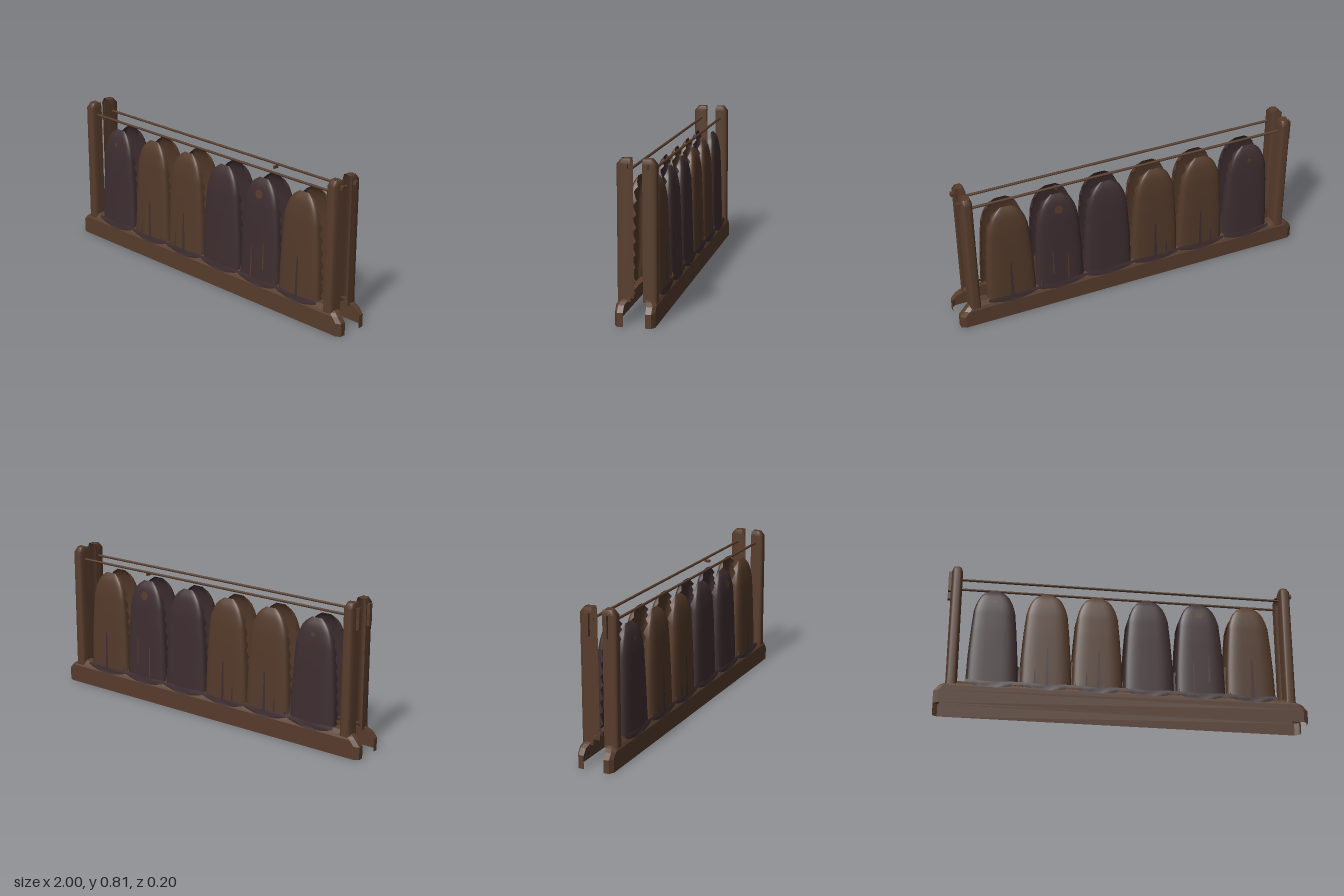
import * as THREE from 'three';

const mat = (name, color) => {
  const m = new THREE.MeshStandardMaterial({ color, side: THREE.DoubleSide });
  m.name = name;
  return m;
};

// Open surface: fn(u, v) gives a point, u runs to +x and v runs upwards
function sheet(nu, nv, fn) {
  const pos = [], idx = [];
  for (let j = 0; j <= nv; j++)
    for (let i = 0; i <= nu; i++) pos.push(...fn(i / nu, j / nv, i, j));
  for (let j = 0; j < nv; j++)
    for (let i = 0; i < nu; i++) {
      const a = j * (nu + 1) + i, b = a + 1, c = a + nu + 1, d = c + 1;
      idx.push(a, b, d, a, d, c);
    }
  const g = new THREE.BufferGeometry();
  g.setAttribute('position', new THREE.Float32BufferAttribute(pos, 3));
  g.setIndex(idx);
  g.computeVertexNormals();
  return g;
}

// Linear lookup in a list of [key, value...] rows
function lookup(rows, t, col) {
  for (let i = 1; i < rows.length; i++)
    if (t <= rows[i][0]) {
      const a = rows[i - 1], b = rows[i];
      return THREE.MathUtils.lerp(a[col], b[col], (t - a[0]) / (b[0] - a[0]));
    }
  return rows[rows.length - 1][col];
}

// Coat outline: height, half width, front z
const COAT = [
  [0.12, 0.138, 0.094], [0.3, 0.132, 0.09], [0.45, 0.122, 0.087], [0.56, 0.112, 0.083],
  [0.61, 0.098, 0.077], [0.65, 0.078, 0.069], [0.675, 0.055, 0.058], [0.69, 0.03, 0.045],
];
const coatFront = y => lookup(COAT, y, 2);
const bend = t => Math.sign(t) * Math.sqrt(Math.abs(t));

export function createModel() {
  const brown = mat('brown wood', 0x573c2c);
  const tan = mat('brown cloth', 0x533a2a);
  const dark = mat('dark cloth', 0x3e2e30);

  const model = new THREE.Group();
  const half = new THREE.Group();
  half.name = 'frontHalf';
  const add = (parent, name, geo, m) => {
    const mesh = new THREE.Mesh(geo, m);
    mesh.name = name;
    parent.add(mesh);
    return mesh;
  };

  // Base: a plan path raised through a profile that slopes inwards
  const plan = [[-1, 0.055], [-1, 0.085], [-0.975, 0.1], [0.975, 0.1], [1, 0.085], [1, 0.055]];
  const profile = [[0, 0, 0], [0.07, 0, 0], [0.1, 0.025, 0], [0.115, 0.045, 0.008], [0.135, 0.08, 0.025], [0.14, 0.08, 0.06]];
  const baseGeo = sheet(5, 5, (u, v, i, j) => {
    const [px, pz] = plan[i], [y, dx, dz] = profile[j];
    return [px - Math.sign(px) * dx, y, Math.max(pz - dz, 0.04)];
  }).toNonIndexed();
  baseGeo.computeVertexNormals();
  add(half, 'base', baseGeo, brown);

  // Posts: open-backed columns with a chamfered head
  for (const s of [-1, 1]) {
    const rows = [[0.11, 0.033, 0.1], [0.14, 0.031, 0.1], [0.785, 0.03, 0.1], [0.812, 0.022, 0.078]];
    const post = add(half, s < 0 ? 'rightPost' : 'leftPost', sheet(16, 3, (u, v, i, j) => {
      const [y, w, front] = rows[j], a = Math.PI * (1 - u);
      return [w * bend(Math.cos(a)), y, 0.03 + (front - 0.03) * bend(Math.sin(a))];
    }), brown);
    post.position.x = s * 0.91;
    const cap = add(half, 'postCap', new THREE.CircleGeometry(0.022, 12), brown);
    cap.scale.y = 1.1;
    cap.rotation.x = -Math.PI / 2;
    cap.position.set(s * 0.91, 0.811, 0.055);
    // Bracket on the outside of the post
    const h = s < 0 ? 0.115 : 0.02;
    add(half, 'postBracket', new THREE.BoxGeometry(0.02, h, 0.022), brown)
      .position.set(s * 0.946, 0.787 - h / 2, 0.05);
  }

  // Hanging rail
  const rail = add(half, 'rail', new THREE.CylinderGeometry(0.007, 0.007, 1.78, 8), brown);
  rail.rotation.z = Math.PI / 2;
  rail.position.set(0, 0.742, 0.056);

  // Narrow cloth strip lying on the front of a coat
  const strip = (x, y0, y1, w) => sheet(1, 5, (u, v) => {
    const y = y0 + (y1 - y0) * v;
    return [x + (u - 0.5) * w * (1 - 0.5 * v), y, coatFront(y) + 0.002];
  });

  // Coats: rounded shells with notched back edges
  const xs = [-0.7, -0.415, -0.14, 0.138, 0.42, 0.697];
  const isDark = [true, false, false, true, true, false];
  xs.forEach((x, k) => {
    const coat = new THREE.Group();
    coat.name = 'coat' + (k + 1);
    coat.position.x = x;
    half.add(coat);
    const m = isDark[k] ? dark : tan;
    const rows = 26;
    add(coat, 'coatBody', sheet(24, rows, (u, v, i, j) => {
      const y = 0.12 + 0.57 * v, a = Math.PI * (1 - u);
      const w = lookup(COAT, y, 1), f = coatFront(y);
      const edge = i === 0 || i === 24;
      const back = 0.042 + (edge ? (j % 3 - 1) * 0.009 : 0);
      return [w * bend(Math.cos(a)), y, Math.min(back, f) + Math.max(f - back, 0) * bend(Math.sin(a))];
    }), m);

    // Dark scalloped hem lying on the sloping top of the base
    add(coat, 'hem', sheet(12, 3, (u, v) => {
      const t = 2 * u - 1;
      const y0 = 0.1 + 0.028 * t * t, y = y0 + (0.142 - y0) * v;
      return [t * 0.142, y, y < 0.115 ? 0.1 - (y - 0.1) * 0.4 : 0.097 - 0.3 * Math.max(0, y - 0.125)];
    }), dark);

    // Openings, streaks and collar marks
    if (k === 1 || k === 2 || k === 5) add(coat, 'opening', strip(0.005, 0.13, 0.35, 0.018), dark);
    if (k === 1 || k === 2) add(coat, 'sideFold', strip(-0.06, 0.14, 0.22, 0.01), dark);
    if (k === 4) {
      add(coat, 'streak', strip(-0.04, 0.14, 0.32, 0.01), tan);
      add(coat, 'streak', strip(0.045, 0.2, 0.36, 0.01), tan);
    }
    if (k === 0 || k === 4) {
      const mark = add(coat, 'collarMark', new THREE.CircleGeometry(k ? 0.024 : 0.012, 10), tan);
      mark.position.set(0, 0.61, coatFront(0.61) + 0.004);
      mark.rotation.x = -0.15;
    }
  });

  // Low folds of cloth filling the gaps between coats
  const gapTops = [0.25, 0.3, 0.2, 0.27, 0.32];
  gapTops.forEach((top, k) => {
    const x = (xs[k] + xs[k + 1]) / 2;
    add(half, 'gapFold', sheet(6, 4, (u, v) => {
      const t = 2 * u - 1;
      return [x + t * 0.022, 0.12 + (top - 0.12) * v, 0.045 + 0.025 * t * t + 0.025 * (1 - v) ** 2];
    }), isDark[k] && k !== 4 ? dark : tan);
  });

  model.add(half);

  // Matching rear half, mirrored through the middle
  const rear = half.clone(true);
  rear.name = 'backHalf';
  rear.scale.z = -1;
  model.add(rear);

  // Loose hook below the rear rail
  add(model, 'hook', new THREE.BoxGeometry(0.012, 0.014, 0.03), brown).position.set(0.42, 0.729, -0.043);
  return model;
}
